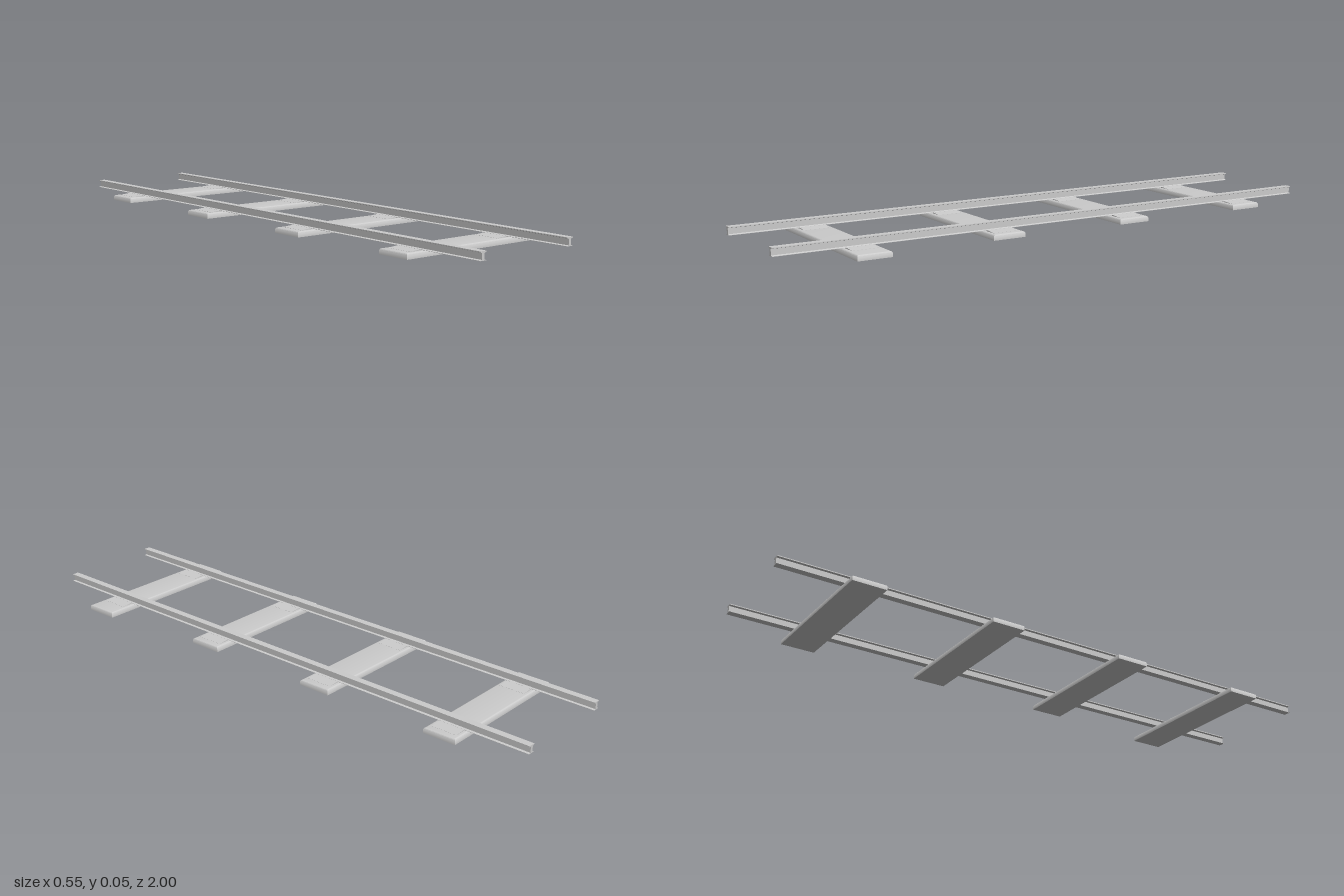
import * as THREE from 'three';
import { toCreasedNormals } from 'three/addons/utils/BufferGeometryUtils.js';

const RAIL_X = [-0.2, 0.16];
const SLEEPER_Z = [0.7225, 0.2385, -0.2465, -0.7315];
const LEFT_END = [0.275, 0.235, 0.235, 0.235]; // the front sleeper is longer
const RIGHT_END = -0.275;
const SLEEPER_H = 0.018, SLEEPER_D = 0.115;

// Extrudes a symmetric half profile [x, y], listed bottom to top, along z
function profileBar(half, length) {
  const right = half.map(([x, y]) => new THREE.Vector2(x, y));
  const left = half.map(([x, y]) => new THREE.Vector2(-x, y)).reverse();
  const geo = new THREE.ExtrudeGeometry(new THREE.Shape([...right, ...left]), {
    depth: length, bevelEnabled: false,
  });
  return geo.translate(0, 0, -length / 2);
}

// Box with a flat, sharp bottom and rounded upper edges
function sleeperGeometry(w, h, d, r) {
  const steps = 4;
  const geo = new THREE.BoxGeometry(w, h, d, 1, steps + 1, 1);
  const p = geo.attributes.position;
  for (let i = 0; i < p.count; i++) {
    const level = Math.round((p.getY(i) / h + 0.5) * (steps + 1));
    const a = Math.max(0, level - 1) / steps * Math.PI / 2;
    const inset = r * (1 - Math.cos(a));
    p.setXYZ(i,
      p.getX(i) - Math.sign(p.getX(i)) * inset,
      level === 0 ? 0 : h - r + r * Math.sin(a),
      p.getZ(i) - Math.sign(p.getZ(i)) * inset);
  }
  geo.computeVertexNormals();
  return toCreasedNormals(geo, 0.6);
}

export function createModel() {
  const model = new THREE.Group();
  model.name = 'railwayTrack';
  const material = new THREE.MeshStandardMaterial({ color: 0xcccccc });
  const add = (name, geo, x, y, z) => {
    const mesh = new THREE.Mesh(geo, material);
    mesh.name = name;
    mesh.position.set(x, y, z);
    model.add(mesh);
  };

  // Rails: foot, slim web and wider head
  const rail = profileBar([
    [0.012, 0.0205], [0.012, 0.0215], [0.005, 0.0235], [0.005, 0.0425],
    [0.012, 0.0445], [0.012, 0.0475],
  ], 2);
  RAIL_X.forEach((x, i) => add(i ? 'leftRail' : 'rightRail', rail, x, 0, 0));

  // Thin sloping plates that seat the rails
  const plate = profileBar([
    [0.051, 0.0172], [0.051, 0.0184], [0.014, 0.0212],
  ], 0.09);

  SLEEPER_Z.forEach((z, i) => {
    const w = LEFT_END[i] - RIGHT_END;
    add('sleeper', sleeperGeometry(w, SLEEPER_H, SLEEPER_D, 0.007), RIGHT_END + w / 2, 0, z);
    RAIL_X.forEach((x) => add('tiePlate', plate, x, 0, z));
  });
  return model;
}
